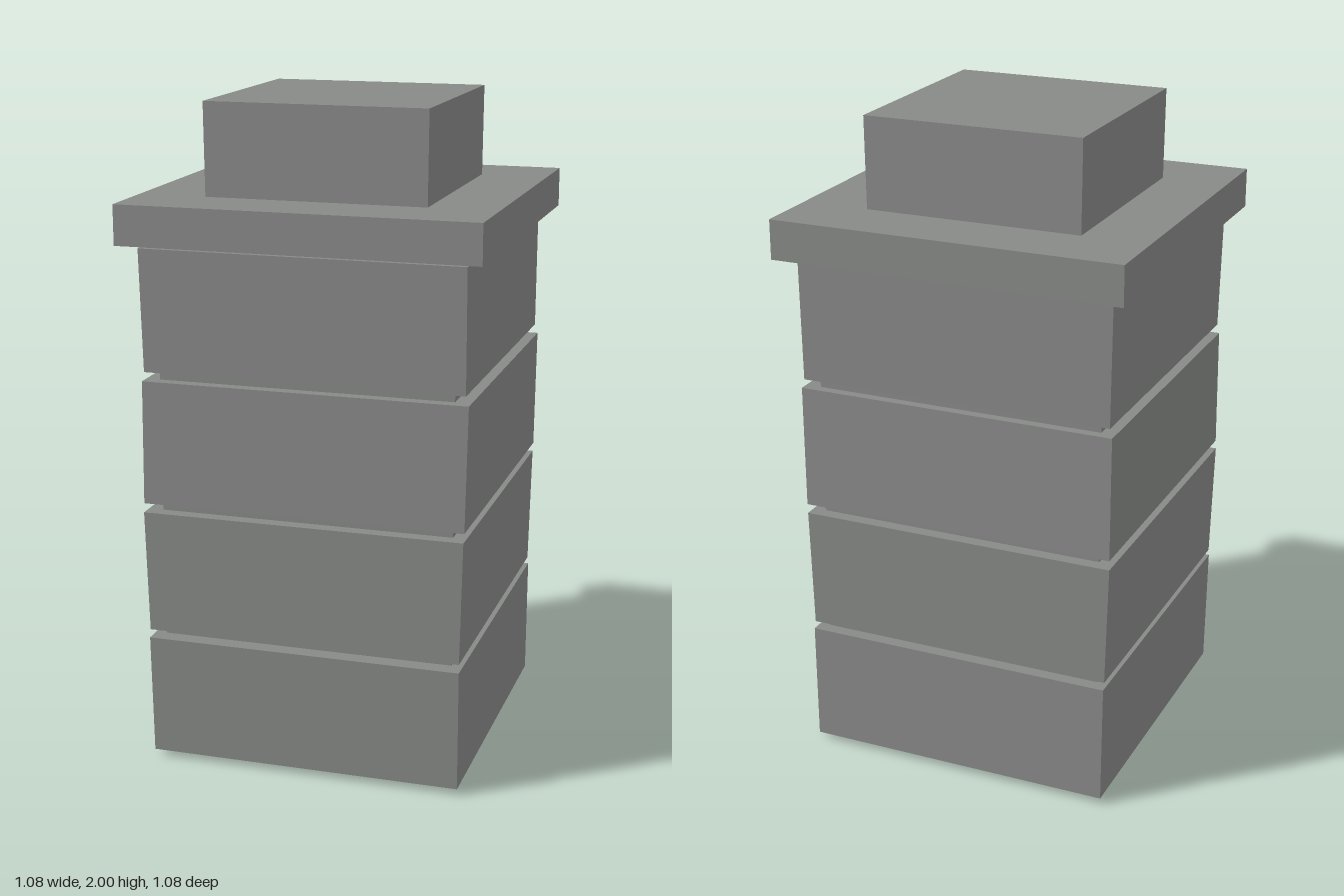
import * as THREE from 'three';

// Box whose bottom and top outlines are given separately as [left, right, back, front]
function hewnBlock(y0, y1, bottom, top) {
  const geometry = new THREE.BoxGeometry(1, 1, 1);
  const p = geometry.attributes.position;
  for (let i = 0; i < p.count; i++) {
    const [x0, x1, z0, z1] = p.getY(i) > 0 ? top : bottom;
    p.setXYZ(i, p.getX(i) > 0 ? x1 : x0, p.getY(i) > 0 ? y1 : y0, p.getZ(i) > 0 ? z1 : z0);
  }
  geometry.computeVertexNormals();
  return geometry;
}

const square = (h) => [-h, h, -h, h];

export function createModel() {
  const group = new THREE.Group();
  const stone = new THREE.MeshStandardMaterial({ color: 0x888a88 });
  stone.name = 'grey stone';

  const add = (name, ...args) => {
    const mesh = new THREE.Mesh(hewnBlock(...args), stone);
    mesh.name = name;
    group.add(mesh);
  };

  // Recessed core visible in the mortar joints
  add('core', 0, 1.6, square(0.447), square(0.447));

  // Four slightly irregular stone courses
  const courses = [
    [0.02, 0.392, [-0.478, 0.48, -0.486, 0.489], [-0.481, 0.482, -0.486, 0.498]],
    [0.415, 0.787, [-0.482, 0.48, -0.481, 0.489], [-0.493, 0.487, -0.486, 0.488]],
    [0.815, 1.19, [-0.492, 0.489, -0.484, 0.486], [-0.49, 0.495, -0.476, 0.482]],
    [1.218, 1.586, [-0.483, 0.486, -0.475, 0.481], [-0.49, 0.486, -0.484, 0.486]],
  ];
  courses.forEach((c, i) => add(`stoneCourse${i + 1}`, ...c));

  // Overhanging slab and the block on top
  add('capSlab', 1.6, 1.72, square(0.54), square(0.54));
  add('topBlock', 1.72, 1.997, [-0.335, 0.333, -0.336, 0.338], [-0.338, 0.335, -0.338, 0.338]);

  return group;
}
